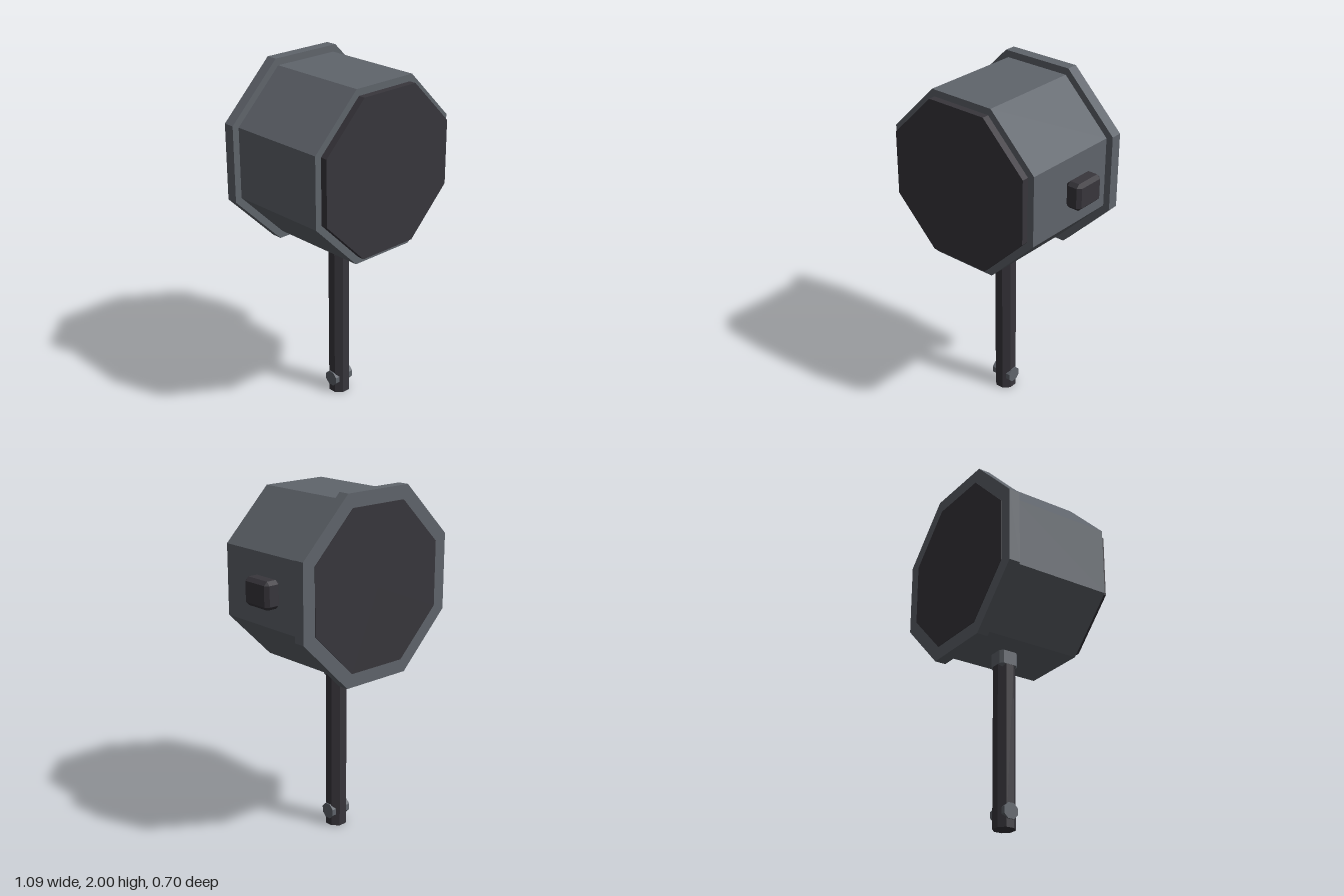
import * as THREE from 'three';
import { ConvexGeometry } from 'three/addons/geometries/ConvexGeometry.js';

const CX = -0.03, CY = 1.483, HZ = -0.032; // drum axis and handle depth

// Flat-sided octagonal prism with flats on its main axes, sized by apothem
function octagon(apothem, length, axis) {
  const r = apothem / Math.cos(Math.PI / 8);
  let g = new THREE.CylinderGeometry(r, r, length, 8);
  g.rotateY(Math.PI / 8);
  if (axis === 'z') g.rotateX(Math.PI / 2);
  if (axis === 'x') g.rotateZ(Math.PI / 2);
  g = g.toNonIndexed();
  g.computeVertexNormals();
  return g;
}

// Box with every edge chamfered
function chamferBox(w, h, d, c) {
  const points = [];
  for (const x of [-1, 1]) for (const y of [-1, 1]) for (const z of [-1, 1])
    for (let full = 0; full < 3; full++) {
      const cut = i => (i === full ? 0 : c);
      points.push(new THREE.Vector3(x * (w / 2 - cut(0)), y * (h / 2 - cut(1)), z * (d / 2 - cut(2))));
    }
  return new ConvexGeometry(points);
}

export function createModel() {
  const model = new THREE.Group();
  model.name = 'mallet';
  const steel = new THREE.MeshStandardMaterial({ color: 0x60656c });
  steel.name = 'steel grey';
  const dark = new THREE.MeshStandardMaterial({ color: 0x38363c });
  dark.name = 'dark grey';

  const add = (name, geometry, material, x, y, z) => {
    const mesh = new THREE.Mesh(geometry, material);
    mesh.name = name;
    mesh.position.set(x, y, z);
    model.add(mesh);
  };
  // Octagonal slab of the head between two depths
  const slab = (name, apothem, z0, z1, material) =>
    add(name, octagon(apothem, z1 - z0, 'z'), material, CX, CY, (z0 + z1) / 2);

  // Head
  slab('headBody', 0.48, -0.285, 0.312, steel);
  slab('backFlange', 0.519, -0.349, -0.284, steel);
  slab('frontFace', 0.442, 0.31, 0.352, dark);
  slab('backPanel', 0.442, -0.352, -0.346, dark);
  add('sideButton', chamferBox(0.097, 0.153, 0.191, 0.02), dark, 0.4955, 1.486, -0.035);

  // Handle
  add('handle', octagon(0.058, 0.95, 'y'), dark, CX, 0.475, HZ);
  add('collar', chamferBox(0.117, 0.135, 0.117, 0.018), steel, CX, 0.974, HZ);
  for (const side of [-1, 1])
    add(side > 0 ? 'leftPin' : 'rightPin', octagon(0.043, 0.03, 'x'), steel, CX + side * 0.051, 0.088, HZ);

  return model;
}
